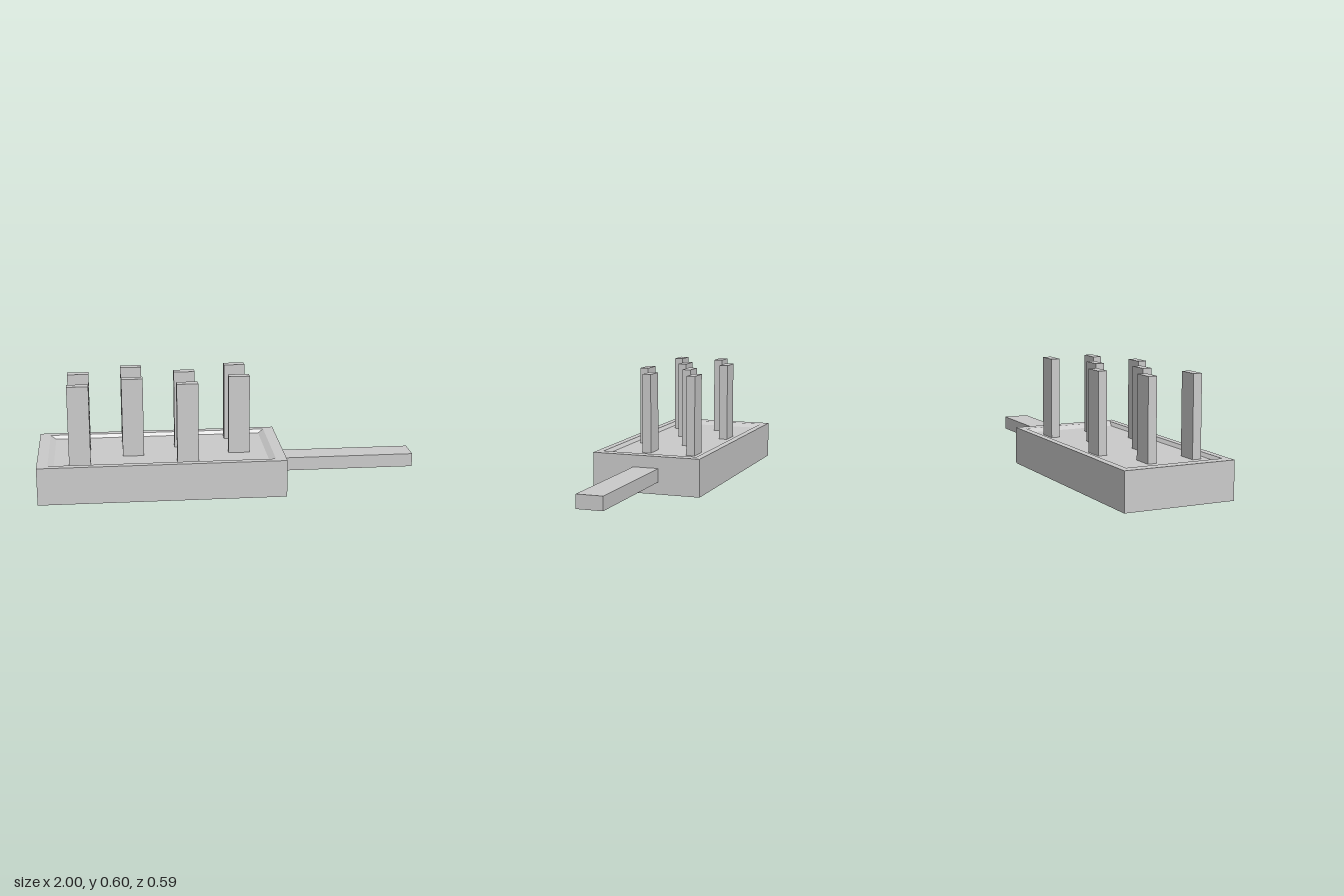
import * as THREE from 'three';

const material = new THREE.MeshStandardMaterial({ color: 0xcccccc, flatShading: true });

function addBox(parent, name, size, position) {
  const mesh = new THREE.Mesh(new THREE.BoxGeometry(...size), material);
  mesh.name = name;
  mesh.position.set(...position);
  parent.add(mesh);
}

// Solid through a stack of rectangles [halfX, y, halfZ], closed at both ends
function rectangleLoft(rings) {
  const corners = rings.map(([hx, y, hz]) =>
    [[-hx, y, hz], [hx, y, hz], [hx, y, -hz], [-hx, y, -hz]]);
  const positions = [];
  const quad = (a, b, c, d) => positions.push(...a, ...b, ...c, ...a, ...c, ...d);
  for (let r = 0; r + 1 < corners.length; r++) {
    for (let i = 0; i < 4; i++) {
      const j = (i + 1) % 4;
      quad(corners[r][i], corners[r][j], corners[r + 1][j], corners[r + 1][i]);
    }
  }
  quad(...[...corners[0]].reverse());
  quad(...corners[corners.length - 1]);
  const geometry = new THREE.BufferGeometry();
  geometry.setAttribute('position', new THREE.Float32BufferAttribute(positions, 3));
  geometry.computeVertexNormals();
  return geometry;
}

export function createModel() {
  const model = new THREE.Group();
  model.name = 'peggedBlock';

  // Block with a shallow, slope-sided recess in its top
  const floorY = 0.18;
  const base = new THREE.Mesh(rectangleLoft([
    [0.643, 0, 0.293],
    [0.643, 0.198, 0.293],
    [0.587, 0.198, 0.257],
    [0.557, floorY, 0.244],
  ]), material);
  base.name = 'base';
  base.position.x = -0.357;
  model.add(base);

  // Staggered upright pegs, two in each of four columns
  const pegs = new THREE.Group();
  pegs.name = 'pegs';
  const top = 0.597;
  for (let column = 0; column < 4; column++) {
    const x = -0.78 + column * 0.279;
    const rows = column % 2 ? [-0.183, 0.061] : [-0.061, 0.183];
    for (const z of rows) {
      addBox(pegs, 'peg', [0.111, top - floorY, 0.046], [x, (top + floorY) / 2, z]);
    }
  }
  model.add(pegs);

  // Handle from the +x end
  addBox(model, 'handle', [0.72, 0.071, 0.138], [0.64, 0.1, 0]);

  return model;
}
